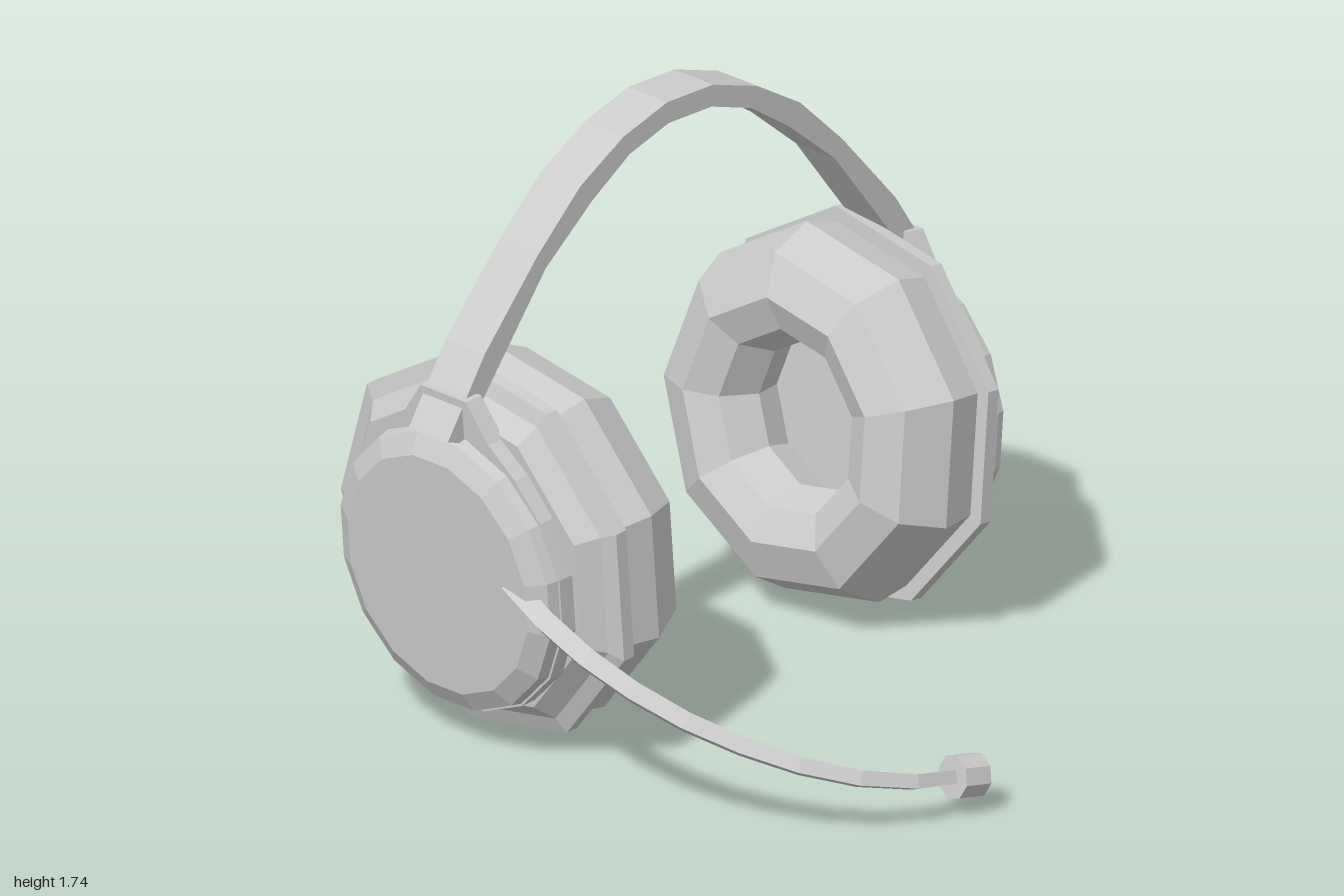
import * as THREE from 'three';

const material = new THREE.MeshStandardMaterial({ color: 0xcccccc, flatShading: true, side: THREE.DoubleSide });
const TILT = 0.08;
const BAND_Z = -0.435;

function addMesh(parent, name, geometry) {
  const mesh = new THREE.Mesh(geometry, material);
  mesh.name = name;
  parent.add(mesh);
  return mesh;
}

// Lathe whose axis points outward along x; profile entries are [radius, outward offset]
function sideLathe(profile, sides, start, side) {
  const points = profile.map(([r, a]) => new THREE.Vector2(r, a));
  return new THREE.LatheGeometry(points, sides, start).rotateZ(-side * Math.PI / 2);
}

function shapeFrom(points) {
  return new THREE.Shape(points.map(([x, y]) => new THREE.Vector2(x, y)));
}

// Round backing plate with a neck rising to the headband
function bracketGeometry(side) {
  const outline = [];
  for (let i = 0; i < 12; i++) {
    const t = (33.75 - 22.5 * i) * Math.PI / 180;
    outline.push([0.435 * Math.cos(t), 0.435 * Math.sin(t) - 0.02]);
  }
  const neck = [[0.27, 0.33], [0.17, 0.41], [0.09, 0.52]];
  for (const [z, y] of neck) outline.push([-z, y]);
  for (const [z, y] of neck.reverse()) outline.push([z, y]);
  const geometry = new THREE.ExtrudeGeometry(shapeFrom(outline), { depth: 0.06, bevelEnabled: false });
  return geometry.rotateY(Math.PI / 2).translate(side > 0 ? 0.08 : -0.14, 0, 0);
}

function earCup(side) {
  const cup = new THREE.Group();
  cup.name = side > 0 ? 'leftEarCup' : 'rightEarCup';
  cup.position.set(side * 0.72, 0.568, -0.43);
  cup.rotation.z = -side * TILT;

  // Padded ring with a sunken centre
  addMesh(cup, 'cushion', sideLathe([
    [0, -0.06], [0.25, -0.06], [0.22, -0.16], [0.27, -0.27], [0.37, -0.315],
    [0.49, -0.27], [0.555, -0.14], [0.53, -0.02],
  ], 9, Math.PI, side));

  // Rim and tapered shell
  addMesh(cup, 'shell', sideLathe([
    [0.5, -0.022], [0.575, -0.022], [0.575, 0.018], [0.525, 0.035], [0.47, 0.09], [0, 0.09],
  ], 9, Math.PI, side));

  addMesh(cup, 'bracket', bracketGeometry(side));

  // Outer cap
  const cap = addMesh(cup, 'cap', sideLathe([
    [0.43, 0.13], [0.42, 0.175], [0.36, 0.207], [0, 0.207],
  ], 16, Math.PI / 16, side));
  cap.position.y = -0.02;
  return cup;
}

// Arched strip, described by its outer and inner edges on one half
function headbandGeometry() {
  const outer = [[0.09, 1.745], [0.264, 1.69], [0.433, 1.59], [0.6, 1.43], [0.81, 1.19], [0.955, 0.965]];
  const inner = [[0.9, 0.945], [0.76, 1.13], [0.57, 1.38], [0.39, 1.53], [0.24, 1.63], [0.085, 1.68]];
  const half = [...outer, ...inner];
  const mirrored = half.map(([x, y]) => [-x, y]).reverse();
  return new THREE.ExtrudeGeometry(shapeFrom([...half, ...mirrored]), { depth: 0.156, bevelEnabled: false })
    .translate(0, 0, BAND_Z - 0.078);
}

// Square tube that tapers towards the microphone
function boomGeometry(path) {
  const segments = 9;
  const sides = 4;
  const geometry = new THREE.TubeGeometry(path, segments, 1, sides);
  const position = geometry.attributes.position;
  const vertex = new THREE.Vector3();
  for (let i = 0; i < position.count; i++) {
    const t = Math.floor(i / (sides + 1)) / segments;
    const centre = path.getPointAt(t);
    vertex.fromBufferAttribute(position, i).sub(centre).multiplyScalar(0.043 - 0.016 * t).add(centre);
    position.setXYZ(i, vertex.x, vertex.y, vertex.z);
  }
  geometry.computeVertexNormals();
  return geometry;
}

export function createModel() {
  const model = new THREE.Group();
  model.name = 'headset';

  for (const side of [1, -1]) model.add(earCup(side));
  addMesh(model, 'headband', headbandGeometry());

  // Microphone arm on the right cup
  const path = new THREE.CatmullRomCurve3([
    [-0.89, 0.57, -0.16], [-0.915, 0.5, 0.02], [-0.9, 0.415, 0.23], [-0.83, 0.325, 0.45],
    [-0.71, 0.245, 0.65], [-0.58, 0.19, 0.8], [-0.41, 0.145, 0.9], [-0.2, 0.112, 0.93],
  ].map((p) => new THREE.Vector3(...p)));
  addMesh(model, 'microphoneBoom', boomGeometry(path));

  const microphone = addMesh(model, 'microphone', new THREE.CylinderGeometry(0.065, 0.065, 0.09, 8));
  microphone.position.set(-0.19, 0.11, 0.932);
  microphone.quaternion.setFromUnitVectors(
    new THREE.Vector3(0, 1, 0), new THREE.Vector3(1, -0.17, 0.1).normalize());

  return model;
}
